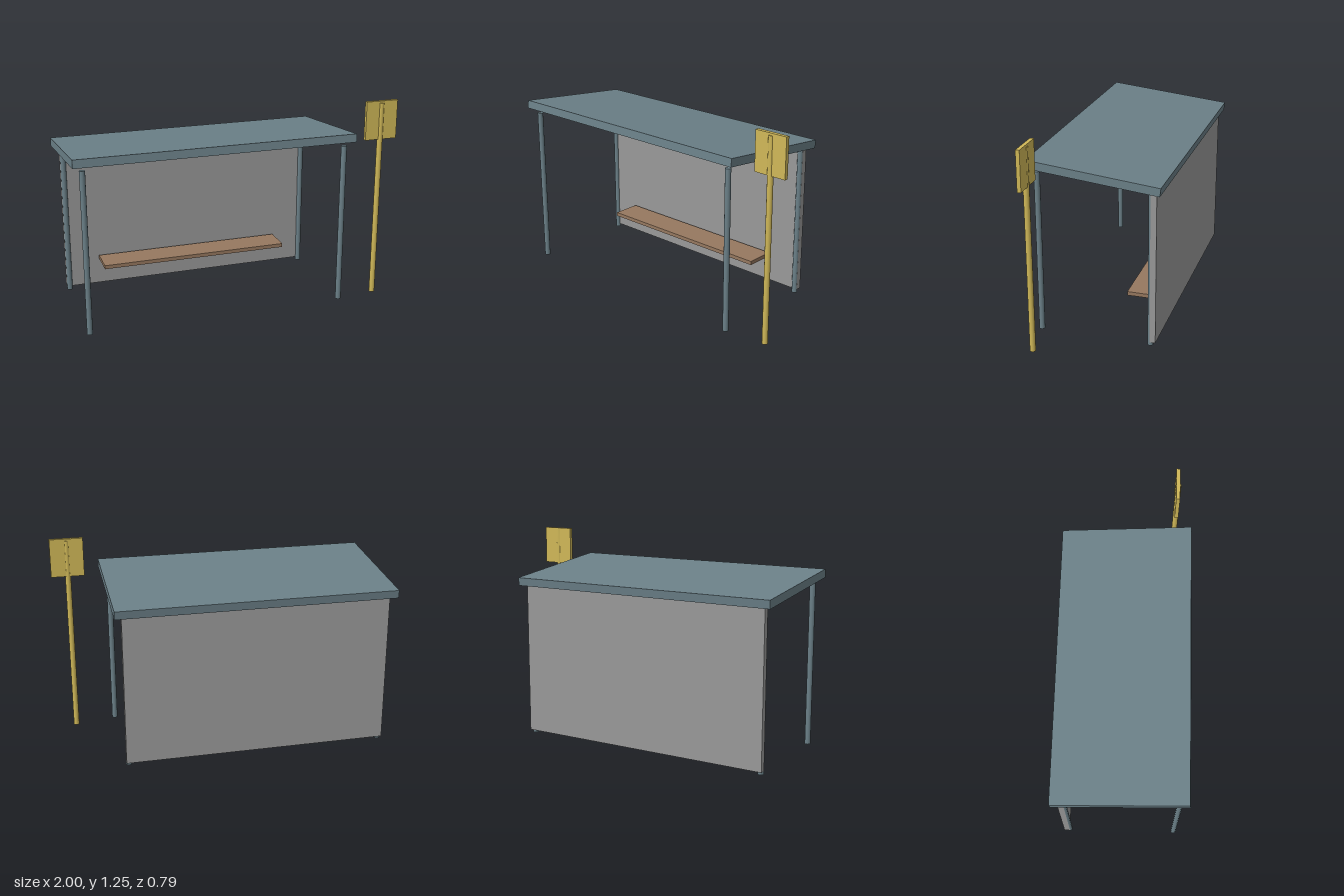
import * as THREE from 'three';

const material = (name, color) => {
  const m = new THREE.MeshStandardMaterial({ color });
  m.name = name;
  return m;
};

export function createModel() {
  const model = new THREE.Group();
  model.name = 'busShelter';

  const slate = material('slateMetal', 0x6b8088);
  const grey = material('greyPanel', 0x999999);
  const wood = material('brownWood', 0x96785f);
  const yellow = material('yellowPaint', 0xd0b858);

  const add = (name, geometry, mat, x, y, z) => {
    const mesh = new THREE.Mesh(geometry, mat);
    mesh.name = name;
    mesh.position.set(x, y, z);
    model.add(mesh);
    return mesh;
  };
  const box = (name, mat, w, h, d, x, y, z) =>
    add(name, new THREE.BoxGeometry(w, h, d), mat, x, y, z);
  // Round upright standing between two heights
  const post = (name, mat, x, z, y0, y1) =>
    add(name, new THREE.CylinderGeometry(0.0175, 0.0175, y1 - y0, 12), mat, x, (y0 + y1) / 2, z);

  // Roof slab, sloping down to the back
  const roof = box('roof', slate, 1.7, 0.05, 0.785, -0.15, 1.017, 0);
  roof.rotation.x = -0.105;

  // Four roof posts, the back pair shorter
  for (const [side, x] of [['Right', -0.94], ['Left', 0.64]]) {
    post('front' + side + 'Post', slate, x, 0.343, 0.005, 1.003);
    post('back' + side + 'Post', slate, x, -0.327, 0.005, 0.965);
  }

  // Back wall and the bench in front of it
  box('backWall', grey, 1.615, 0.935, 0.035, -0.15, 0.4925, -0.3425);
  box('benchSeat', wood, 1.19, 0.024, 0.182, -0.15, 0.207, -0.219);

  // Stop sign: a plate with the pole running through its middle
  post('signPole', yellow, 0.896, 0.301, 0, 1.237);
  box('signPlate', yellow, 0.204, 0.238, 0.023, 0.898, 1.131, 0.299);

  return model;
}
